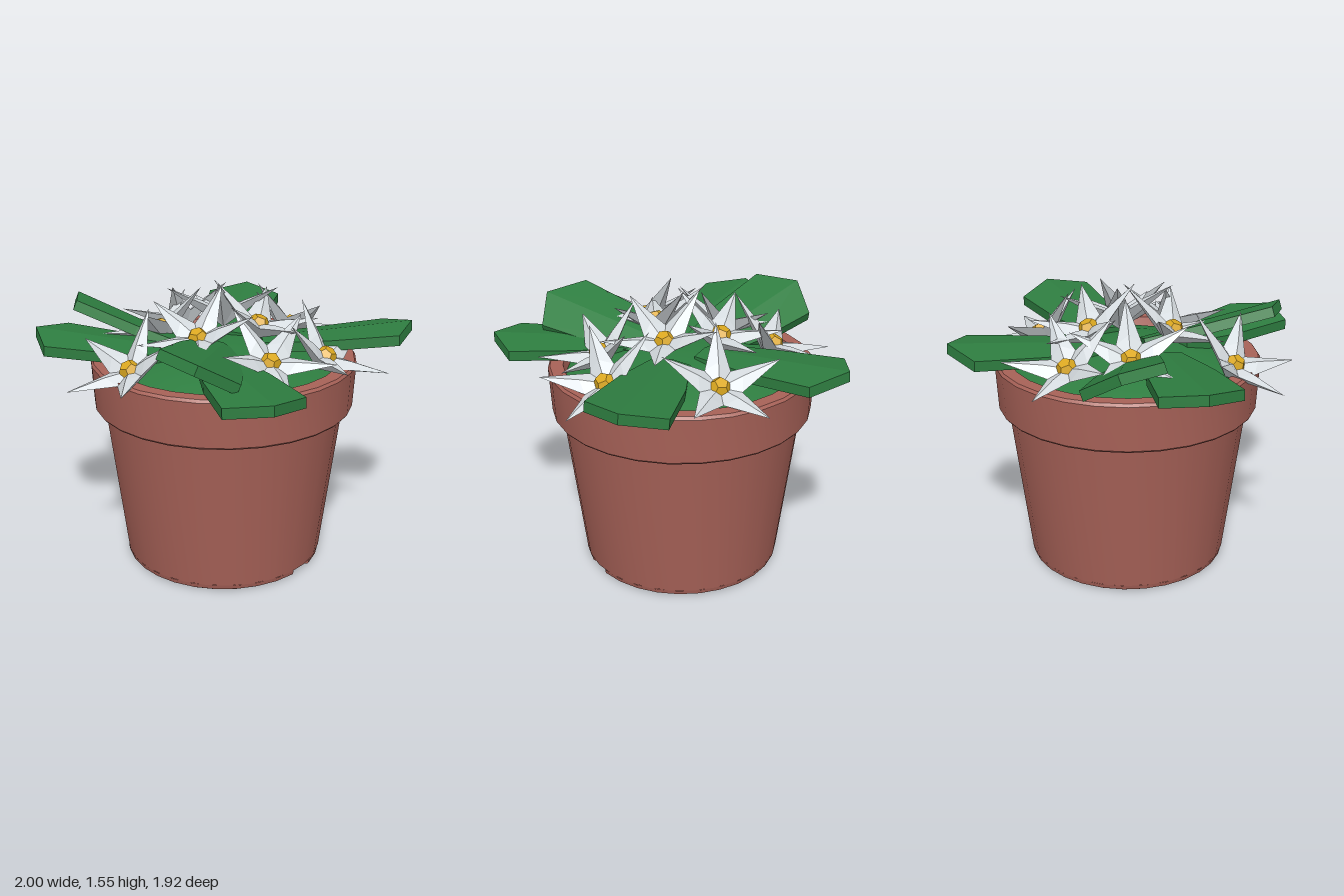
import * as THREE from 'three';
import { toCreasedNormals } from 'three/addons/utils/BufferGeometryUtils.js';

const mat = (name, color, side = THREE.FrontSide) =>
  Object.assign(new THREE.MeshStandardMaterial({ color, side }), { name });

const vec = ([x, y]) => new THREE.Vector2(x, y);

function lathe(points, segments, start = 0, length = Math.PI * 2) {
  const g = new THREE.LatheGeometry(points.map(vec), segments, start, length);
  return toCreasedNormals(g, 0.6);
}

// Five pointed petals, each a ridged spike with a keel below
function starGeometry() {
  const pos = [];
  const centre = [0, 0.01, 0], keel = [0, -0.08, 0];
  for (let i = 0; i < 5; i++) {
    const a = (i * Math.PI * 2) / 5;
    const at = (da, r, y) => [Math.sin(a + da) * r, y, Math.cos(a + da) * r];
    const tip = at(0, 0.32, 0.125), ridge = at(0, 0.12, 0.062);
    const l = at(-Math.PI / 5, 0.115, 0.022), r = at(Math.PI / 5, 0.115, 0.022);
    for (const tri of [
      [centre, ridge, r], [ridge, tip, r], [centre, l, ridge], [l, tip, ridge],
      [keel, r, tip], [keel, tip, l],
    ]) pos.push(...tri.flat());
  }
  const g = new THREE.BufferGeometry();
  g.setAttribute('position', new THREE.Float32BufferAttribute(pos, 3));
  g.computeVertexNormals();
  return g;
}

// Half of a thick leaf, one unit long, sloping away from the midrib
function leafHalf(side) {
  const outline = [[0, 0], [0.1, 0], [0.175, 0.4], [0.21, 0.855], [0, 1]];
  const shape = new THREE.Shape(outline.map(([u, v]) => vec([u * side, v])));
  const g = new THREE.ExtrudeGeometry(shape, { depth: 0.055, bevelEnabled: false });
  g.rotateX(Math.PI / 2);
  const p = g.attributes.position;
  for (let i = 0; i < p.count; i++) {
    p.setY(i, p.getY(i) + 0.04 - 0.12 * Math.abs(p.getX(i)));
  }
  g.computeVertexNormals();
  return g;
}

export function createModel() {
  const model = new THREE.Group();
  model.name = 'pottedFlowers';
  const clay = mat('terracotta', 0xa86258, THREE.DoubleSide);
  const green = mat('leafGreen', 0x2e7d40);
  const white = mat('petalWhite', 0xd6dce0);
  const yellow = mat('centreYellow', 0xdba820);

  const add = (parent, name, geometry, material) => {
    const m = new THREE.Mesh(geometry, material);
    m.name = name;
    parent.add(m);
    return m;
  };

  // Pot with overhanging rim
  add(model, 'pot', lathe([
    [0, 0.05], [0.46, 0.05], [0.47, 0.033], [0.548, 0.033], [0.652, 0.89],
    [0.695, 0.89], [0.703, 0.9], [0.716, 1.14], [0.705, 1.155],
    [0.635, 1.155], [0.61, 1.07],
  ], 28), clay);

  // Foot ring with a drainage notch
  const foot = [[0.47, 0.033], [0.485, 0], [0.53, 0], [0.542, 0.008], [0.548, 0.033]];
  const notch = 1.09, half = 0.14;
  add(model, 'footRing', lathe(foot, 28, notch + half, Math.PI * 2 - 2 * half), clay);
  for (const s of [-1, 1]) {
    const cap = add(model, 'notchWall', new THREE.ShapeGeometry(new THREE.Shape(foot.map(vec))), clay);
    cap.rotation.y = notch + s * half - Math.PI / 2;
  }

  // Mound of foliage filling the pot
  add(model, 'foliageMound', lathe([[0.622, 1.1], [0.5, 1.15], [0.3, 1.2], [0, 1.23]], 20), green);

  // Leaves: base, tip, roll
  const halves = [leafHalf(1), leafHalf(-1)];
  const leaves = [
    [[-0.02, 1.2, -0.13], [-0.02, 1.255, -0.96], 0],
    [[0.2, 1.2, -0.06], [0.995, 1.27, -0.27], -0.08],
    [[-0.12, 1.14, 0], [-0.89, 1.35, -0.24], 0.35],
    [[-0.2, 1.18, 0.15], [-1, 1.255, 0.15], 0],
    [[0, 1.2, 0.08], [0.02, 1.35, 0.875], -0.37],
    [[0, 1.19, 0.26], [0.4, 1.21, 0.96], 0],
  ];
  for (const [base, tip, roll] of leaves) {
    const leaf = new THREE.Group();
    leaf.name = 'leaf';
    const from = new THREE.Vector3(...base), to = new THREE.Vector3(...tip);
    leaf.position.copy(from);
    leaf.lookAt(to);
    leaf.rotateZ(roll);
    leaf.scale.z = from.distanceTo(to);
    halves.forEach((g) => add(leaf, 'leafHalf', g, green));
    model.add(leaf);
  }

  // Flowers: centre x, y, z and the direction of one petal
  const star = starGeometry();
  const button = new THREE.CylinderGeometry(0.035, 0.062, 0.035, 5).toNonIndexed();
  button.computeVertexNormals();
  const flowers = [
    [-0.33, 1.25, -0.4, -0.23, -0.2],
    [0.33, 1.24, -0.43, 0.32, -0.03],
    [-0.04, 1.36, -0.23, 0.16, -0.27],
    [-0.38, 1.29, -0.07, 0.06, 0.32],
    [0.2, 1.36, -0.01, 0.2, 0.21],
    [-0.1, 1.34, 0.24, 0.08, 0.29],
    [0.31, 1.26, 0.34, 0.12, 0.28],
    [0.58, 1.235, 0.11, 0.32, 0],
    [-0.41, 1.225, 0.49, 0.06, 0.3],
  ];
  const up = new THREE.Vector3(0, 1, 0);
  for (const [x, y, z, px, pz] of flowers) {
    const r = Math.hypot(x, z);
    const tilt = 0.24 + 0.57 * r;
    const axis = new THREE.Vector3((x / r) * Math.sin(tilt), Math.cos(tilt), (z / r) * Math.sin(tilt));
    const flower = new THREE.Group();
    flower.name = 'flower';
    flower.quaternion.setFromUnitVectors(up, axis);
    flower.position.set(x, y, z).addScaledVector(axis, -0.045);
    flower.rotateY(Math.atan2(px, pz));
    add(flower, 'petals', star, white);
    add(flower, 'flowerCentre', button, yellow).position.y = 0.035;
    model.add(flower);
  }
  return model;
}
